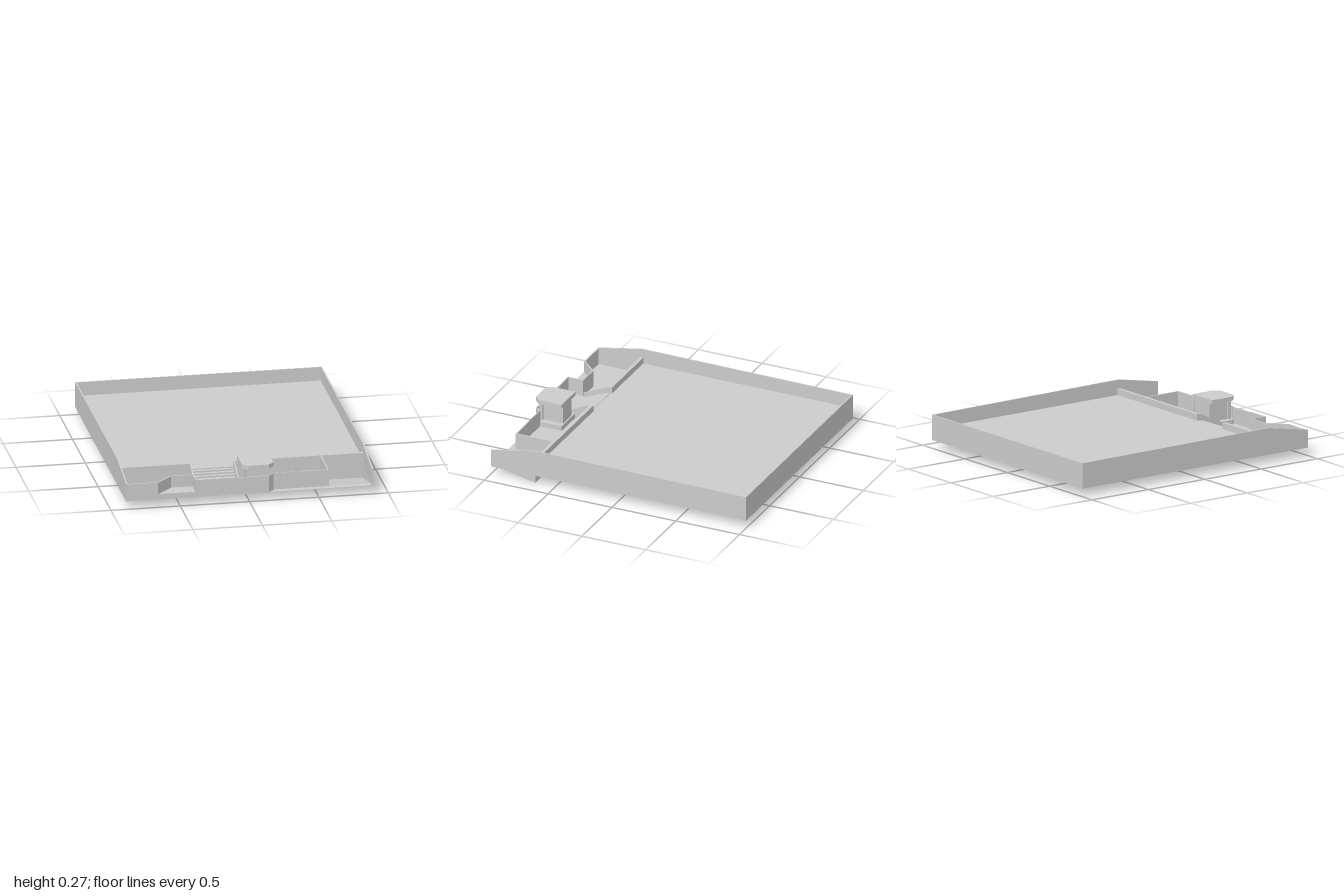
import * as THREE from 'three';

const grey = new THREE.MeshStandardMaterial({ color: 0xcccccc, flatShading: true, side: THREE.DoubleSide });

export function createModel() {
  const root = new THREE.Group();
  const BASE = 0.06, LAWN = 0.14, RAIL = 0.187;

  const add = (name, geometry) => {
    const mesh = new THREE.Mesh(geometry, grey);
    mesh.name = name;
    root.add(mesh);
    return mesh;
  };
  // Box given by its limits
  const box = (name, x0, x1, y0, y1, z0, z1) => {
    const g = new THREE.BoxGeometry(x1 - x0, y1 - y0, z1 - z0);
    g.translate((x0 + x1) / 2, (y0 + y1) / 2, (z0 + z1) / 2);
    return add(name, g);
  };
  const extrude = (pts, depth) => new THREE.ExtrudeGeometry(
    new THREE.Shape(pts.map(p => new THREE.Vector2(...p))), { depth, bevelEnabled: false });
  // Outline in (z, y), extruded along x
  const sidePanel = (name, pts, x0, x1) => {
    const g = extrude(pts.map(([z, y]) => [-z, y]), x1 - x0);
    g.rotateY(Math.PI / 2).translate(x0, 0, 0);
    return add(name, g);
  };
  // Outline in (x, z), extruded upward
  const planPrism = (name, pts, y0, y1) => {
    const g = extrude(pts.map(([x, z]) => [x, -z]), y1 - y0);
    g.rotateX(-Math.PI / 2).translate(0, y0, 0);
    return add(name, g);
  };

  // Boundary walls; the side walls slope down toward the street
  const profile = [[-1, BASE], [1, BASE], [1, 0.19], [0.65, 0.255], [-1, 0.245]];
  for (const x of [-0.89, 0.88]) sidePanel('sideWall', profile, x, x + 0.01);
  box('backWall', -0.88, 0.88, BASE, 0.245, -1, -0.99);

  // Upper terrace, lower court and street strip
  box('upperTerrace', -0.88, 0.88, LAWN, LAWN + 0.004, -0.99, 0.65);
  box('lowerCourt', -0.88, 0.575, BASE, BASE + 0.004, 0.65, 1);
  box('drivewayApron', 0.575, 0.88, BASE, BASE + 0.004, 0.95, 1);

  // Retaining walls either side of the stairs
  box('retainingWallRight', -0.88, -0.36, BASE, 0.19, 0.64, 0.665);
  box('retainingWallLeft', -0.055, 0.88, BASE, 0.19, 0.64, 0.665);

  // Stairs as a folded sheet, with sloping side walls
  const steps = 7, z0 = 0.86, run = 0.2 / steps, rise = (LAWN - BASE) / steps;
  for (let i = 0; i < steps; i++) {
    const z = z0 - i * run, y = BASE + i * rise;
    box('stairRiser', -0.36, -0.055, y, y + rise, z - 0.003, z);
    box('stairTread', -0.36, -0.055, y + rise - 0.003, y + rise, z - run, z);
  }
  const stringer = [[0.64, BASE], [0.865, BASE], [0.865, 0.1], [0.665, 0.19], [0.64, 0.19]];
  for (const x of [-0.37, -0.055]) sidePanel('stairSideWall', stringer, x, x + 0.01);

  // Sunken driveway with side cheeks and closed end
  sidePanel('drivewayRamp', [[0.66, 0], [0.95, BASE], [0.95, BASE + 0.004], [0.66, 0.004]], 0.58, 0.88);
  for (const x of [0.577, 0.878])
    sidePanel('rampCheek', [[0.66, 0], [0.95, BASE], [0.66, BASE]], x, x + 0.003);
  box('garageEnd', 0.577, 0.881, 0, BASE, 0.655, 0.665);
  box('drivewayWall', 0.57, 0.58, BASE, RAIL, 0.665, 0.955);

  // Street wall and gates
  box('streetWallRight', -0.88, -0.66, BASE, RAIL, 0.99, 1);
  box('streetWallMiddle', -0.385, -0.22, BASE, RAIL, 0.99, 1);
  box('streetGate', -0.22, -0.01, BASE, RAIL - 0.004, 0.994, 0.998);
  box('sideGate', 0.18, 0.38, BASE, RAIL, 0.95, 0.955);
  box('streetWallLeft', 0.38, 0.575, BASE, RAIL, 0.945, 0.955);

  // Planter niche set back from the street
  box('planterFront', -0.66, -0.385, BASE, 0.1, 0.99, 1);
  planPrism('planterFloor', [[-0.66, 1], [-0.55, 0.88], [-0.385, 0.88], [-0.385, 1]], 0.097, 0.1);
  planPrism('planterWall', [[-0.66, 1], [-0.545, 0.885], [-0.39, 0.885], [-0.39, 1],
    [-0.38, 1], [-0.38, 0.875], [-0.55, 0.875], [-0.675, 1]], BASE, RAIL);

  // Gatehouse: chamfered base and skirt, booth and flat roof
  const plan = [[-0.05, 0.78], [0.18, 0.78], [0.18, 0.96], [0.14, 1], [-0.01, 1], [-0.05, 0.96]];
  planPrism('gatehouseBase', plan, BASE, 0.1);
  planPrism('gatehouseSkirt', [[0.18, 0.95], [0.18, 0.96], [0.14, 1], [-0.01, 1],
    [-0.01, 0.99], [0.135, 0.99], [0.172, 0.95]], 0.1, RAIL);
  box('gatehouseBooth', -0.005, 0.135, 0.1, 0.24, 0.79, 0.96);
  for (const x of [-0.015, 0.12]) box('gatehousePost', x, x + 0.025, 0.1, 0.24, 0.945, 0.972);
  planPrism('gatehouseRoof', plan, 0.24, 0.27);

  return root;
}
